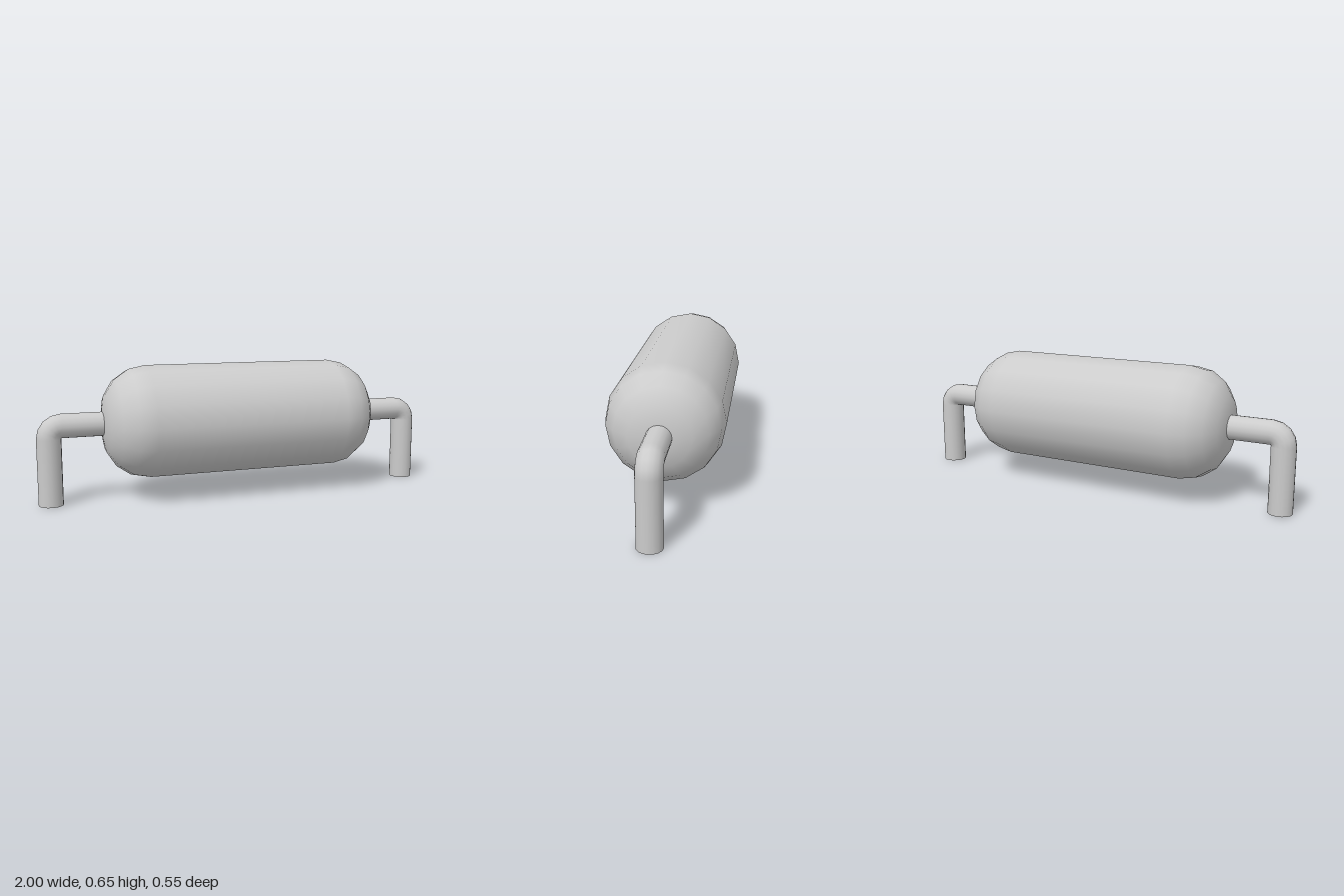
import * as THREE from 'three';

export function createModel() {
  const group = new THREE.Group();
  const material = new THREE.MeshStandardMaterial({ color: 0xcccccc, side: THREE.DoubleSide });
  const axisY = 0.375, sides = 16;
  const pipeR = 0.058, legX = 1 - pipeR;
  const bodyR = 0.273, endX = 0.69, roundX = 0.21;

  const add = (parent, name, geometry, x, y) => {
    const mesh = new THREE.Mesh(geometry, material);
    mesh.name = name;
    mesh.position.set(x, y, 0);
    parent.add(mesh);
    return mesh;
  };

  // Body: cylinder along x with rounded ends
  const cap = [];
  for (let i = 0; i <= 4; i++) {
    const a = (i / 4) * Math.PI / 2;
    cap.push(new THREE.Vector2(
      pipeR + (bodyR - pipeR) * Math.cos(a),
      endX - roundX + roundX * Math.sin(a)
    ));
  }
  cap.push(new THREE.Vector2(0, endX));
  const lower = cap.map(p => new THREE.Vector2(p.x, -p.y)).reverse();
  const bodyGeometry = new THREE.LatheGeometry([...lower, ...cap], sides);
  bodyGeometry.rotateZ(-Math.PI / 2);
  add(group, 'body', bodyGeometry, 0, axisY);

  // Bent wire lead at each end
  for (const side of ['left', 'right']) {
    const lead = new THREE.Group();
    lead.name = side + 'Lead';
    if (side === 'right') lead.rotation.y = Math.PI;
    group.add(lead);

    const bendX = legX - pipeR, bendY = axisY - pipeR;
    const startX = endX - 0.01;
    const arm = new THREE.CylinderGeometry(pipeR, pipeR, bendX - startX, sides, 1, true);
    arm.rotateZ(Math.PI / 2);
    add(lead, side + 'Arm', arm, (startX + bendX) / 2, axisY);

    add(lead, side + 'Elbow',
      new THREE.TorusGeometry(pipeR, pipeR, sides, 4, Math.PI / 2), bendX, bendY);

    add(lead, side + 'Leg',
      new THREE.CylinderGeometry(pipeR, pipeR, bendY, sides, 1, true), legX, bendY / 2);
  }

  return group;
}
